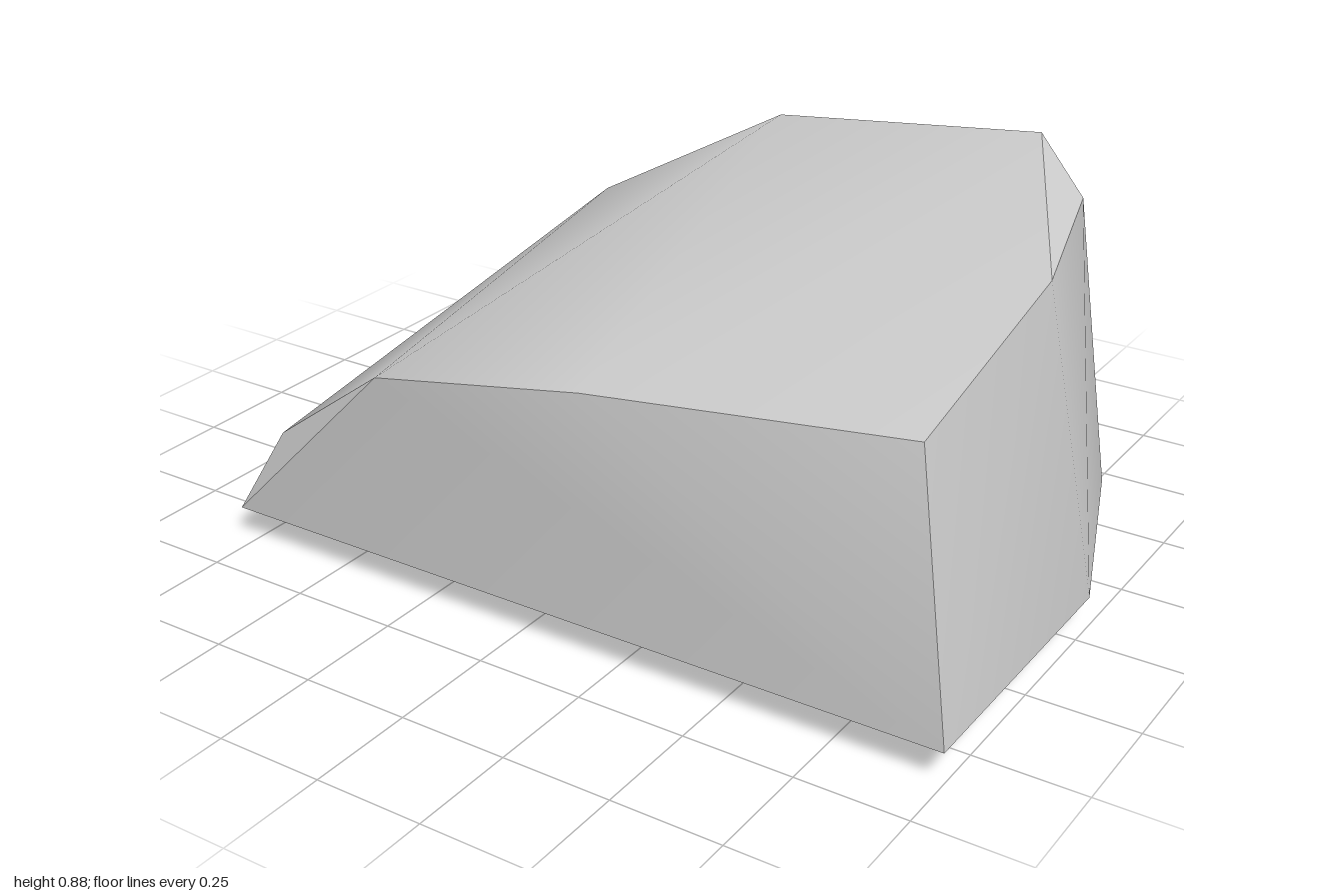
import * as THREE from 'three';
import { ConvexGeometry } from 'three/addons/geometries/ConvexGeometry.js';
import { toCreasedNormals } from 'three/addons/utils/BufferGeometryUtils.js';

export function createModel() {
  const group = new THREE.Group();
  const stone = new THREE.MeshStandardMaterial({ color: 0xcacaca });
  stone.name = 'pale grey stone';

  // Corners of the boulder as [x, y, z]
  const corners = [
    // underside
    [-0.79, 0.07, 0.62], [1, 0.073, 0.62], [1, 0.073, -0.06], [0.8, 0.06, -0.605],
    [-1, 0.05, -0.605], [-1, 0.03, -0.51], [-0.85, 0, 0.49],
    // upper edge of the front
    [-0.7, 0.26, 0.56], [-0.36, 0.505, 0.62], [0.17, 0.605, 0.62], [0.87, 0.64, 0.505],
    // upper edge of the +x side
    [0.87, 0.775, -0.04], [0.75, 0.797, -0.47],
    // upper edge of the back
    [0.58, 0.877, -0.615], [-0.1, 0.802, -0.61], [-0.63, 0.505, -0.625],
  ].map((c) => new THREE.Vector3(...c));

  // Gentle bends are smooth, the main edges stay sharp
  const geometry = toCreasedNormals(new ConvexGeometry(corners), 0.58);
  const boulder = new THREE.Mesh(geometry, stone);
  boulder.name = 'boulder';
  group.add(boulder);
  return group;
}
